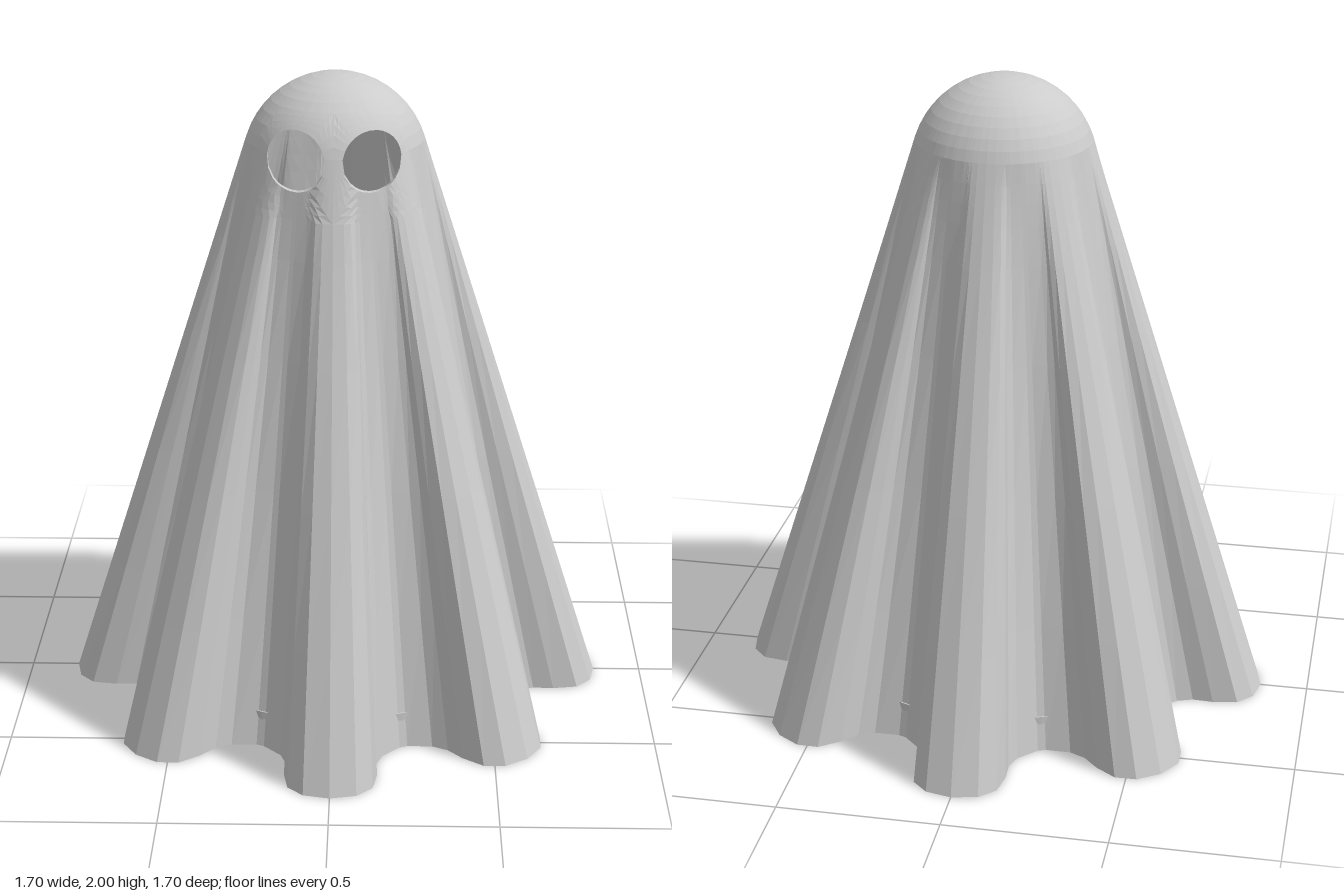
import * as THREE from 'three';

const WALL = 0.02, HEAD_Y = 1.715, HEAD_R = 0.285, LOBES = 8, TILT = 0.309;
const EYE = { x: 0.113, y: 1.787, r: 0.087 };
const EYE_COL = 16, EYE_ROW0 = 5, EYE_ROW1 = 12; // grid window replaced by each eye

const material = new THREE.MeshStandardMaterial({ color: 0xcccccc, flatShading: true });

// Hem outline: half a fold as [sideways, outwards], mirrored and repeated around
function hemOutline() {
  const half = [[0, 0.85], [0.08, 0.833], [0.128, 0.787], [0.141, 0.71], [0.138, 0.645], [0.156, 0.595], [0.21, 0.54]];
  const pts = [];
  for (let l = 0; l < LOBES; l++) {
    const turn = (a, r) => pts.push(new THREE.Vector2(r, a + l * 2 * Math.PI / LOBES));
    half.forEach(([s, o]) => turn(Math.atan2(s, o), Math.hypot(s, o)));
    half.slice(1).reverse().forEach(([s, o]) => turn(2 * Math.PI / LOBES - Math.atan2(s, o), Math.hypot(s, o)));
  }
  return pts.map(p => new THREE.Vector2(p.x * Math.sin(p.y), p.x * Math.cos(p.y)));
}

// Move the outline inwards by d
function inset(pts, d) {
  const n = pts.length;
  return pts.map((p, i) => {
    const t = pts[(i + 1) % n].clone().sub(pts[(i + n - 1) % n]).normalize();
    return new THREE.Vector2(p.x - (-t.y) * d, p.y - t.x * d);
  });
}

// A cloth surface: folded skirt blending into a round head, as radius over (angle, height)
function clothSurface(outline, headR) {
  const n = outline.length;
  const radii = outline.map(p => p.length());
  const angles = outline.map(p => (Math.atan2(p.x, p.y) + 2 * Math.PI) % (2 * Math.PI));
  if (angles[0] > 6) angles[0] = 0;
  const angle = i => angles[((i % n) + n) % n] + Math.floor(i / n) * 2 * Math.PI;
  const joinY = HEAD_Y + headR * Math.sin(TILT), joinR = headR * Math.cos(TILT);

  const hemRadius = a => {
    const t = ((a % (2 * Math.PI)) + 2 * Math.PI) % (2 * Math.PI);
    let i = 0;
    while (i < n - 1 && angle(i + 1) <= t) i++;
    const f = (t - angle(i)) / (angle(i + 1) - angle(i));
    return THREE.MathUtils.lerp(radii[i], radii[(i + 1) % n], f);
  };
  const radius = (a, y) => y < joinY
    ? THREE.MathUtils.lerp(hemRadius(a), joinR, y / joinY)
    : Math.sqrt(Math.max(0, headR * headR - (y - HEAD_Y) ** 2));
  const point = (a, y) => {
    const r = radius(a, y);
    return [r * Math.sin(a), y, r * Math.cos(a)];
  };
  const angleAt = (x, y) => {
    let a = 0.4;
    for (let k = 0; k < 12; k++) a = Math.asin(Math.min(1, x / radius(a, y)));
    return a;
  };
  const rows = [0, 0.4, 0.8, 1.2, 1.5, 1.62, 1.68, 1.74, joinY];
  for (let k = 1; k <= 10; k++) rows.push(HEAD_Y + headR * Math.sin(TILT + (Math.PI / 2 - TILT) * k / 10));
  return { n, angle, point, angleAt, rows };
}

function quad(out, a, b, c, d, flip) {
  if (flip) [b, d] = [d, b];
  out.push(...a, ...b, ...c, ...a, ...c, ...d);
}

// Rings of [angle, height] from the window border to the round eye opening
function eyeRings(s) {
  const border = [];
  for (let i = 0; i < EYE_COL; i++) border.push([s.angle(i), s.rows[EYE_ROW0]]);
  for (let j = EYE_ROW0; j < EYE_ROW1; j++) border.push([s.angle(EYE_COL), s.rows[j]]);
  for (let i = EYE_COL; i > 0; i--) border.push([s.angle(i), s.rows[EYE_ROW1]]);
  for (let j = EYE_ROW1; j > EYE_ROW0; j--) border.push([s.angle(0), s.rows[j]]);
  const mid = s.angleAt(EYE.x, EYE.y);
  const hole = border.map(([a, y]) => {
    const phi = Math.atan2(y - EYE.y, (a - mid) * 0.25);
    const hy = EYE.y + EYE.r * Math.sin(phi);
    return [s.angleAt(EYE.x + EYE.r * Math.cos(phi), hy), hy];
  });
  return [0, 0.25, 0.5, 0.75, 1].map(f => border.map((b, k) =>
    [b[0] + (hole[k][0] - b[0]) * f, b[1] + (hole[k][1] - b[1]) * f]));
}

function sheetTriangles(s, inward) {
  const out = [];
  for (let j = 0; j < s.rows.length - 1; j++) {
    for (let i = -EYE_COL; i < s.n - EYE_COL; i++) {
      if (i < EYE_COL && j >= EYE_ROW0 && j < EYE_ROW1) continue;
      // columns left of the middle mirror those on the right
      const a0 = s.angle(i), a1 = s.angle(i + 1), y0 = s.rows[j], y1 = s.rows[j + 1];
      quad(out, s.point(a0, y0), s.point(a1, y0), s.point(a1, y1), s.point(a0, y1), inward);
    }
  }
  const rings = eyeRings(s);
  for (const side of [1, -1]) {
    const p = ([a, y]) => s.point(side * a, y);
    for (let r = 0; r < rings.length - 1; r++) {
      const A = rings[r], B = rings[r + 1];
      A.forEach((_, k) => {
        const m = (k + 1) % A.length;
        quad(out, p(A[k]), p(A[m]), p(B[m]), p(B[k]), (side < 0) !== inward);
      });
    }
  }
  return out;
}

function addMesh(group, name, positions) {
  const g = new THREE.BufferGeometry();
  g.setAttribute('position', new THREE.Float32BufferAttribute(positions, 3));
  g.computeVertexNormals();
  const mesh = new THREE.Mesh(g, material);
  mesh.name = name;
  group.add(mesh);
}

export function createModel() {
  const group = new THREE.Group();
  group.name = 'ghost';
  const hem = hemOutline();
  const outer = clothSurface(hem, HEAD_R);
  const inner = clothSurface(inset(hem, WALL), HEAD_R - WALL);

  addMesh(group, 'outerSheet', sheetTriangles(outer, false));
  addMesh(group, 'innerSheet', sheetTriangles(inner, true));

  // Bottom edge of the cloth
  const edge = [];
  for (let k = 0; k < outer.n; k++) {
    const o = i => outer.point(outer.angle(i), 0), n = i => inner.point(inner.angle(i), 0);
    quad(edge, o(k + 1), o(k), n(k), n(k + 1));
  }
  addMesh(group, 'hemEdge', edge);

  // Wall thickness inside the eye holes
  const holeO = eyeRings(outer).at(-1), holeI = eyeRings(inner).at(-1);
  for (const side of [1, -1]) {
    const rim = [];
    const o = k => outer.point(side * holeO[k][0], holeO[k][1]);
    const n = k => inner.point(side * holeI[k][0], holeI[k][1]);
    holeO.forEach((_, k) => {
      const m = (k + 1) % holeO.length;
      quad(rim, n(k), o(k), o(m), n(m), side < 0);
    });
    addMesh(group, side > 0 ? 'leftEyeRim' : 'rightEyeRim', rim);
  }

  // Flat ring joining the folds at the base
  const profile = [[0.467, 0], [0.565, 0], [0.565, 0.11], [0.467, 0.11], [0.467, 0]];
  const ring = new THREE.Mesh(
    new THREE.LatheGeometry(profile.map(([x, y]) => new THREE.Vector2(x, y)), 64), material);
  ring.name = 'baseRing';
  group.add(ring);
  return group;
}
